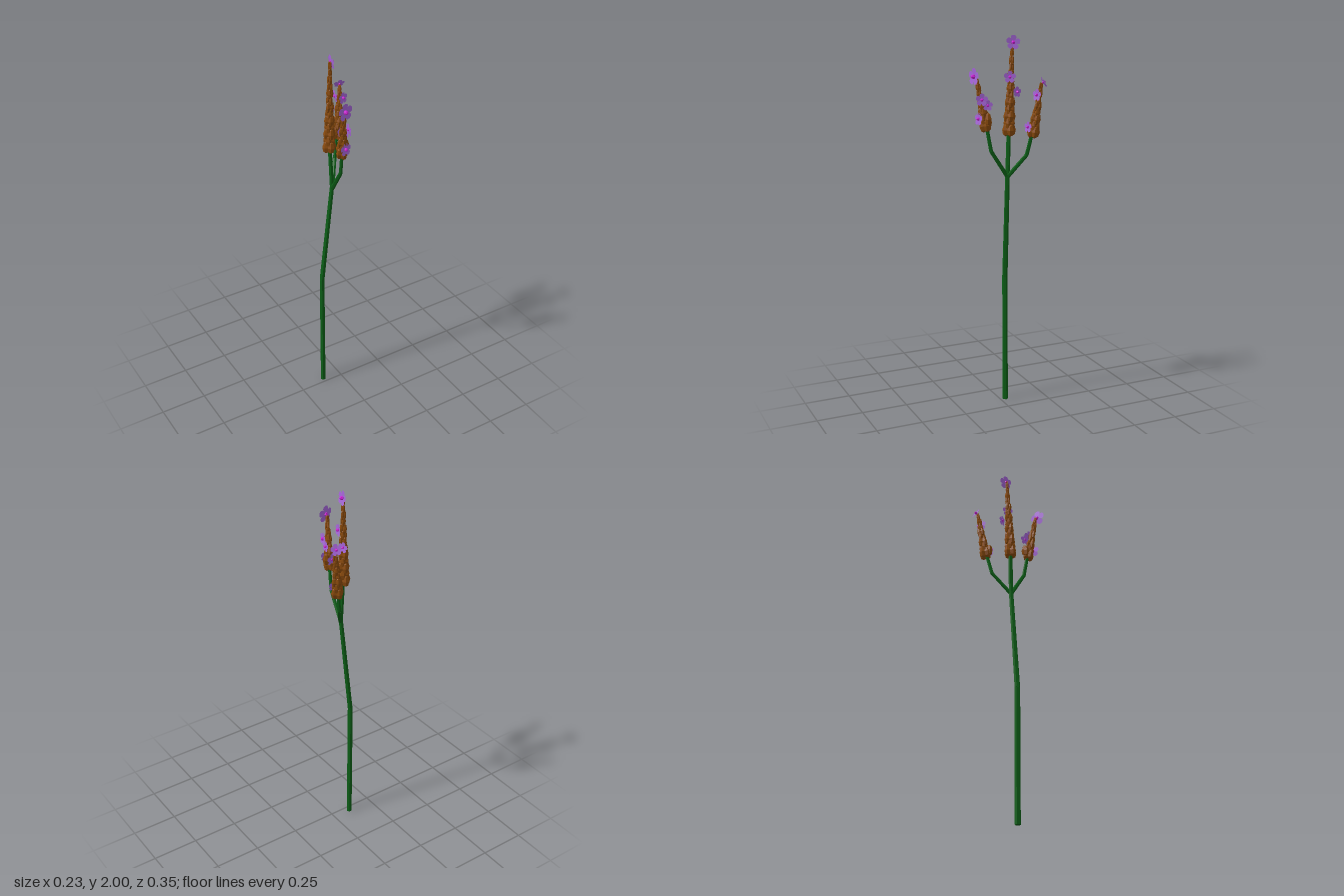
import * as THREE from 'three';

const mat = (color, side = THREE.FrontSide) =>
  new THREE.MeshStandardMaterial({ color, side, flatShading: true });
const green = mat(0x0b5e16), brown = mat(0x87490c), magenta = mat(0xcc22d6);
const purple = mat(0xa566d8, THREE.DoubleSide);
const UP = new THREE.Vector3(0, 1, 0), FRONT = new THREE.Vector3(0, 0, 1);
const V = (p) => new THREE.Vector3(...p);

function add(parent, name, geometry, material) {
  const mesh = new THREE.Mesh(geometry, material);
  mesh.name = name;
  parent.add(mesh);
  return mesh;
}

// Six-sided rod between two points, corners towards the sides
function rod(parent, name, a, b, r0, r1, material) {
  const d = b.clone().sub(a);
  const geometry = new THREE.CylinderGeometry(r1, r0, d.length(), 6).rotateY(Math.PI / 2);
  const m = add(parent, name, geometry, material);
  m.position.copy(a).addScaledVector(d, 0.5);
  m.quaternion.setFromUnitVectors(UP, d.normalize());
}

// Bent stalk: list of [x, y, z, radius], with a small joint at each bend
function stalk(parent, name, pts) {
  const g = new THREE.Group();
  g.name = name;
  parent.add(g);
  for (let i = 1; i < pts.length; i++) {
    const a = pts[i - 1], b = pts[i];
    rod(g, 'stalkSection', V(a.slice(0, 3)), V(b.slice(0, 3)), a[3], b[3], green);
    if (i < pts.length - 1) {
      add(g, 'stalkJoint', new THREE.SphereGeometry(b[3] * 0.98, 6, 4), green).position.set(b[0], b[1], b[2]);
    }
  }
}

// Faceted bud, widest below the middle
const budGeometry = new THREE.LatheGeometry(
  [[0, -1], [0.75, -0.7], [1, 0], [0.6, 0.75], [0, 1]].map((p) => new THREE.Vector2(...p)), 6);

// Tapering spike of overlapping whorls of buds
function spike(parent, name, base, tip, rows, r0, r1) {
  const g = new THREE.Group();
  g.name = name;
  parent.add(g);
  const axis = tip.clone().sub(base);
  g.position.copy(base);
  g.quaternion.setFromUnitVectors(UP, axis.clone().normalize());
  const h = axis.length();
  rod(g, 'spikeCore', V([0, 0, 0]), V([0, h, 0]), r0 * 0.5, r1 * 0.5, brown);
  for (let i = 0; i < rows; i++) {
    const t = i / (rows - 1);
    const r = THREE.MathUtils.lerp(r0, r1, t) * (i % 2 ? 0.88 : 1);
    const count = t < 0.4 ? 4 : 3;
    for (let k = 0; k < count; k++) {
      const a = (k / count) * Math.PI * 2 + i * 0.8;
      const bud = add(g, 'bud', budGeometry, brown);
      bud.position.set(Math.cos(a) * r * 0.48, 0.02 + t * (h - 0.04), Math.sin(a) * r * 0.48);
      bud.scale.set(r * 0.55, 0.034 - 0.01 * t, r * 0.55);
      bud.rotation.y = -a;
    }
  }
}

// Flat, broad petal with a rounded tip, unit length along +y
const petalShape = new THREE.Shape();
petalShape.moveTo(0, 0.05);
petalShape.bezierCurveTo(0.3, 0.25, 0.72, 0.95, 0, 1);
petalShape.bezierCurveTo(-0.72, 0.95, -0.3, 0.25, 0, 0.05);
const petalGeometry = new THREE.ShapeGeometry(petalShape, 5);

// Five-petalled, slightly cupped flower facing a direction
function flower(parent, pos, dir, r) {
  const g = new THREE.Group();
  g.name = 'flower';
  parent.add(g);
  g.position.set(...pos);
  g.quaternion.setFromUnitVectors(FRONT, V(dir).normalize());
  for (let k = 0; k < 5; k++) {
    const petal = add(g, 'petal', petalGeometry, purple);
    petal.scale.setScalar(r);
    petal.rotation.set(0.12, 0, (k / 5) * Math.PI * 2, 'ZXY');
  }
  const heart = add(g, 'flowerHeart', new THREE.SphereGeometry(r * 0.26, 6, 4), magenta);
  heart.position.z = r * 0.12;
  heart.scale.z = 1.3;
}

export function createModel() {
  const model = new THREE.Group();
  model.name = 'floweringStem';

  // Main stem and its two side branches
  stalk(model, 'mainStem', [[-0.103, 0, -0.028, 0.015], [-0.103, 0.71, -0.027, 0.0145],
    [-0.045, 1.28, -0.016, 0.012], [-0.051, 1.52, -0.026, 0.011]]);
  stalk(model, 'backBranch', [[-0.04, 1.275, -0.018, 0.011], [0.02, 1.39, -0.095, 0.01],
    [0.046, 1.52, -0.117, 0.009]]);
  stalk(model, 'frontBranch', [[-0.045, 1.275, -0.012, 0.011], [-0.049, 1.41, 0.075, 0.01],
    [-0.055, 1.55, 0.1, 0.009]]);

  // Bud spikes
  spike(model, 'mainSpike', V([-0.053, 1.495, -0.027]), V([-0.038, 1.965, -0.04]), 13, 0.036, 0.01);
  spike(model, 'backSpike', V([0.048, 1.495, -0.117]), V([0.082, 1.765, -0.146]), 8, 0.033, 0.012);
  spike(model, 'frontSpike', V([-0.056, 1.525, 0.1]), V([-0.074, 1.79, 0.145]), 8, 0.031, 0.012);

  // Stray buds at the feet of the side spikes
  for (const p of [[-0.06, 1.56, 0.083], [-0.034, 1.58, 0.097], [0.029, 1.53, -0.106]]) {
    const bud = add(model, 'strayBud', budGeometry, brown);
    bud.position.set(...p);
    bud.scale.set(0.018, 0.034, 0.018);
  }

  // Flowers: position, facing, radius
  const flowers = [
    [[-0.034, 1.963, -0.042], [1, 0.15, 0.15], 0.038],
    [[-0.026, 1.79, -0.02], [1, 0.1, 0.25], 0.032],
    [[-0.026, 1.712, -0.06], [1, 0.1, -0.3], 0.028],
    [[0.085, 1.768, -0.155], [0.15, 0.5, -0.85], 0.03],
    [[0.084, 1.705, -0.122], [0.3, 0.1, 1], 0.031],
    [[0.053, 1.54, -0.088], [0.25, 0.1, 1], 0.029],
    [[-0.074, 1.795, 0.155], [0.2, 0.05, 1], 0.045],
    [[-0.04, 1.68, 0.13], [1, 0.1, 0.2], 0.033],
    [[-0.035, 1.65, 0.1], [1, 0.1, 0.1], 0.028],
    [[-0.06, 1.58, 0.137], [0.2, 0.1, 1], 0.034],
  ];
  for (const f of flowers) flower(model, ...f);
  return model;
}
